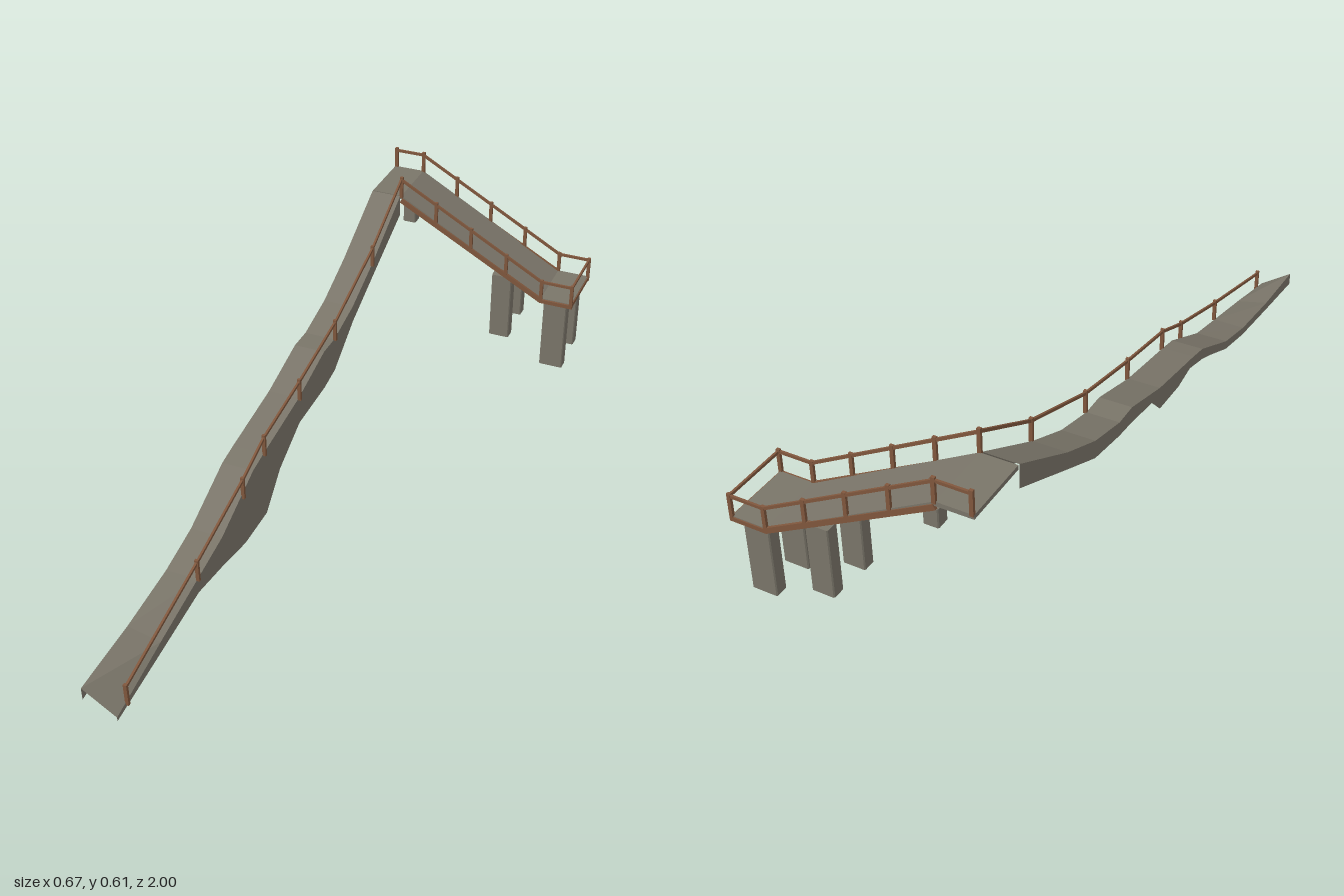
import * as THREE from 'three';

export function createModel() {
  const stone = new THREE.MeshStandardMaterial({ color: 0x7a7569, side: THREE.DoubleSide });
  stone.name = 'stone grey';
  stone.flatShading = true;
  const wood = new THREE.MeshStandardMaterial({ color: 0x80573d });
  wood.name = 'wood brown';

  const model = new THREE.Group();
  model.name = 'walkway';

  const add = (name, geometry, material, x = 0, y = 0, z = 0) => {
    const mesh = new THREE.Mesh(geometry, material);
    mesh.name = name;
    mesh.position.set(x, y, z);
    model.add(mesh);
    return mesh;
  };
  // Straight bar from a to b
  const bar = (name, a, b, width, height) => {
    const p = new THREE.Vector3(...a), q = new THREE.Vector3(...b);
    const geometry = new THREE.BoxGeometry(width, height, p.distanceTo(q));
    const mid = p.clone().add(q).multiplyScalar(0.5);
    add(name, geometry, wood, mid.x, mid.y, mid.z).lookAt(q);
  };
  const post = (x, y0, y1, z) =>
    add('railPost', new THREE.BoxGeometry(0.01, y1 - y0, 0.008), wood, x, (y0 + y1) / 2, z);

  // Long sloping path: z, top left, top right, skirt bottom left, skirt bottom right
  const L = -0.333, R = -0.24;
  const sections = [
    [1.0, 0.08, 0.018, 0.042, 0.006],
    [0.78, 0.09, 0.07, 0.065, 0.038],
    [0.58, 0.112, 0.114, 0.088, 0.068],
    [0.44, 0.145, 0.145, 0.118, 0.05],
    [0.317, 0.2, 0.2, 0.17, 0.028],
    [0.25, 0.23, 0.23, 0.195, 0.031],
    [0.184, 0.243, 0.243, 0.212, 0.034],
    [0.09, 0.258, 0.258, 0.232, 0.125],
    [-0.044, 0.28, 0.28, 0.255, 0.195],
    [-0.22, 0.33, 0.33, 0.282, 0.206],
    [-0.293, 0.33, 0.33, 0.288, 0.222],
    [-0.43, 0.365, 0.365, 0.312, 0.313],
    [-0.576, 0.43, 0.43, 0.38, 0.383],
    [-0.805, 0.555, 0.555, 0.488, 0.49],
  ].map(([z, tl, tr, bl, br]) => [[L, bl, z], [L, tl, z], [R, tr, z], [R, br, z]]);
  const verts = [];
  for (let i = 0; i < sections.length - 1; i++) {
    const s = sections[i], t = sections[i + 1];
    for (let k = 0; k < 3; k++) {
      verts.push(...s[k], ...s[k + 1], ...t[k + 1], ...s[k], ...t[k + 1], ...t[k]);
    }
  }
  const pathGeometry = new THREE.BufferGeometry();
  pathGeometry.setAttribute('position', new THREE.Float32BufferAttribute(verts, 3));
  pathGeometry.computeVertexNormals();
  add('longPath', pathGeometry, stone);

  // Railing along the path: z, post foot, post top
  const pathPosts = [
    [0.954, 0.02, 0.088], [0.582, 0.112, 0.181], [0.317, 0.186, 0.256], [0.184, 0.237, 0.306],
    [-0.044, 0.275, 0.345], [-0.293, 0.328, 0.397], [-0.576, 0.428, 0.497],
  ];
  const railX = -0.237;
  pathPosts.forEach(([z, y0, y1], i) => {
    post(railX, y0, y1, z);
    const [zn, , yn] = pathPosts[i + 1] || [-0.806, 0, 0.62];
    bar('pathRail', [railX, y1 - 0.009, z], [railX, yn - 0.009, zn], 0.006, 0.008);
  });

  // Upper deck: flat corner, ramp and flat landing as one slab
  const deck = new THREE.Shape([
    [-0.333, 0.555], [-0.237, 0.555], [0.233, 0.294], [0.33, 0.294],
    [0.33, 0.283], [0.233, 0.283], [-0.237, 0.543], [-0.333, 0.543],
  ].map(p => new THREE.Vector2(...p)));
  add('deck', new THREE.ExtrudeGeometry(deck, { depth: 0.188, bevelEnabled: false }), stone, 0, 0, -0.997);

  // Edge beams, posts and rails on both sides of the deck
  const postXs = [-0.236, -0.12, -0.003, 0.115, 0.233, 0.33];
  for (const z of [-0.996, -0.807]) {
    bar('rampBeam', [-0.237, 0.541, z], [0.236, 0.286, z], 0.008, 0.015);
    bar('landingBeam', [0.23, 0.286, z], [0.333, 0.286, z], 0.008, 0.012);
    postXs.forEach(x => {
      const y = 0.55 - (Math.min(x, 0.233) + 0.236) * 0.554;
      post(x, x > 0.3 ? 0.28 : y, y + 0.07, z);
    });
    bar('rampRail', [-0.236, 0.61, z], [0.233, 0.353, z], 0.006, 0.008);
    bar('landingRail', [0.233, 0.353, z], [0.33, 0.353, z], 0.006, 0.008);
  }
  bar('landingEndRail', [0.33, 0.353, -0.996], [0.33, 0.353, -0.807], 0.006, 0.008);
  bar('landingEndBeam', [0.33, 0.286, -0.996], [0.33, 0.286, -0.807], 0.006, 0.012);
  // Back edge of the corner
  post(-0.333 + 0.005, 0.551, 0.62, -0.996);
  bar('cornerRail', [-0.331, 0.611, -0.996], [-0.236, 0.611, -0.996], 0.006, 0.008);

  // Support piers in pairs, with chamfered corners
  const pier = (x, width, y0, y1, z, depth) => {
    const w = width / 2, d = depth / 2, c = 0.003;
    const outline = new THREE.Shape([
      [-w + c, -d], [w - c, -d], [w, -d + c], [w, d - c],
      [w - c, d], [-w + c, d], [-w, d - c], [-w, -d + c],
    ].map(p => new THREE.Vector2(...p)));
    const geometry = new THREE.ExtrudeGeometry(outline, { depth: y1 - y0, bevelEnabled: false });
    geometry.rotateX(-Math.PI / 2);
    add('supportPier', geometry, stone, x, y0, z);
  };
  [[-0.836, 0], [-0.961, 0.014]].forEach(([z, lift]) => {
    pier(0.278, 0.074, 0.05 + lift, 0.284, z, 0.038);
    pier(0.1, 0.064, 0.12 + lift, 0.338, z, 0.038);
    pier(-0.213, 0.04, 0.466, 0.517, z, 0.038);
  });

  return model;
}
